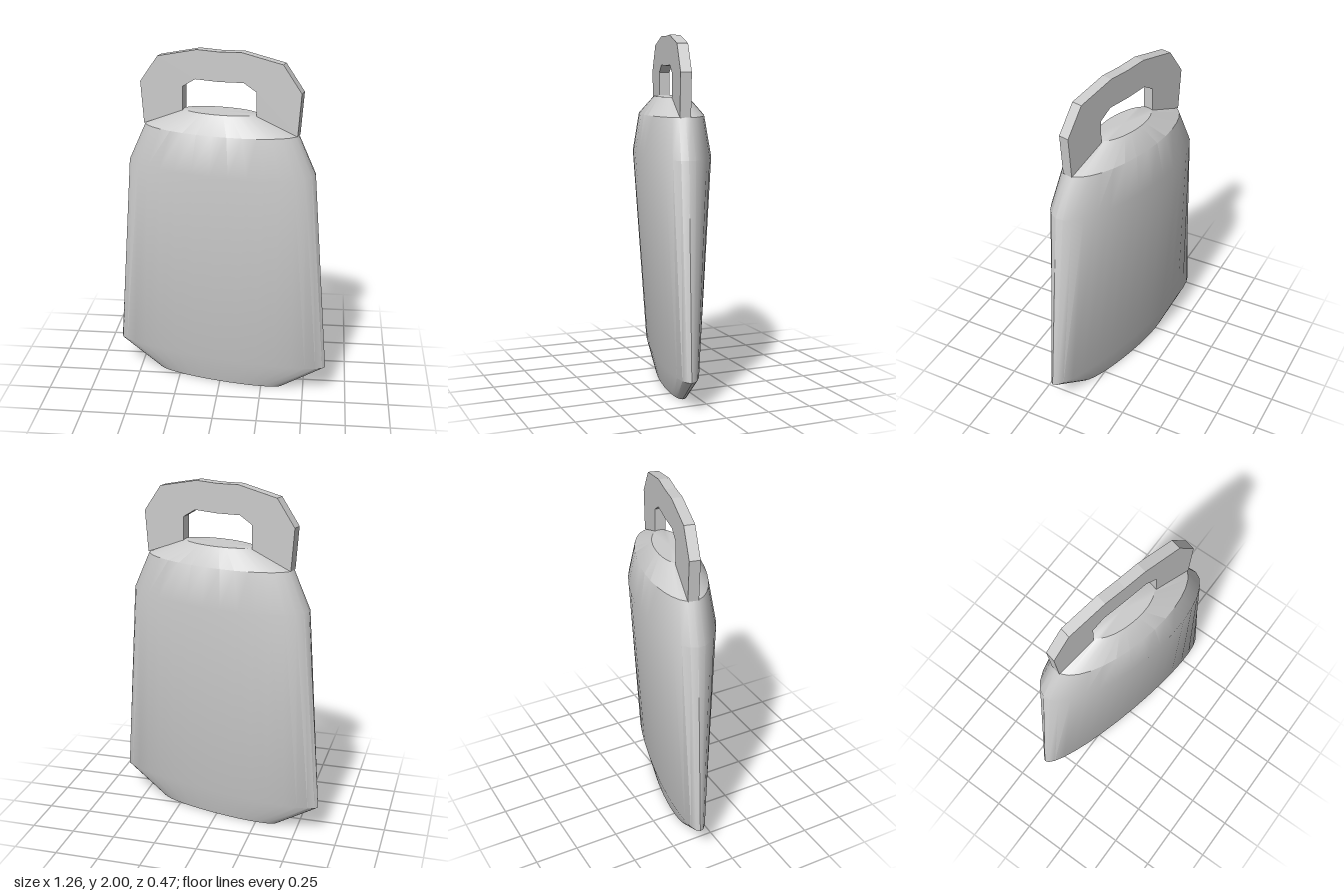
import * as THREE from 'three';
import { toCreasedNormals } from 'three/addons/utils/BufferGeometryUtils.js';

const material = new THREE.MeshStandardMaterial({ color: 0xcccccc });

// Closed skin through elliptical rings [y, half length, half thickness]
function loftEllipses(rings, sides) {
  const positions = [], index = [];
  for (const [y, a, b] of rings) {
    for (let j = 0; j < sides; j++) {
      const t = (j / sides) * Math.PI * 2;
      positions.push(a * Math.cos(t), y, b * Math.sin(t));
    }
  }
  const last = rings.length - 1;
  const bottom = positions.length / 3, top = bottom + 1;
  positions.push(0, rings[0][0], 0, 0, rings[last][0], 0);
  for (let j = 0; j < sides; j++) {
    const k = (j + 1) % sides;
    for (let i = 0; i < last; i++) {
      const p = i * sides, q = p + sides;
      index.push(p + j, q + j, p + k, q + j, q + k, p + k);
    }
    index.push(bottom, j, k, top, last * sides + k, last * sides + j);
  }
  const geometry = new THREE.BufferGeometry();
  geometry.setAttribute('position', new THREE.Float32BufferAttribute(positions, 3));
  geometry.setIndex(index);
  return toCreasedNormals(geometry, 0.55);
}

export function createModel() {
  const model = new THREE.Group();
  model.name = 'handledWeight';

  // Flattened body, widest near the foot and thickest at the shoulder
  const body = new THREE.Mesh(loftEllipses([
    [0, 0.385, 0.068],
    [0.17, 0.645, 0.109],
    [1.34, 0.552, 0.205],
    [1.56, 0.45, 0.171],
    [1.66, 0.215, 0.09],
  ], 32), material);
  body.name = 'body';
  model.add(body);

  // Faceted carrying handle: outer then inner outline of one half, mirrored
  const half = [
    [0.215, 1.655], [0.45, 1.56], [0.468, 1.8], [0.362, 1.95], [0.13, 2], [0, 1.995],
  ];
  const inner = [[0, 1.83], [0.14, 1.835], [0.213, 1.79]];
  const mirror = (points) => points.map(([x, y]) => [-x, y]).reverse();
  const outline = [
    ...half, ...mirror(half).slice(1),
    ...mirror(inner), ...inner.slice(1),
  ];
  const shape = new THREE.Shape(outline.map(([x, y]) => new THREE.Vector2(x, y)));
  const thickness = 0.06;
  const handleGeometry = new THREE.ExtrudeGeometry(shape, { depth: thickness, bevelEnabled: false });
  handleGeometry.translate(0, 0, -thickness / 2);
  const handle = new THREE.Mesh(handleGeometry, material);
  handle.name = 'handle';
  model.add(handle);

  // The whole piece stands turned slightly about the vertical
  model.rotation.y = -THREE.MathUtils.degToRad(13);
  return model;
}
